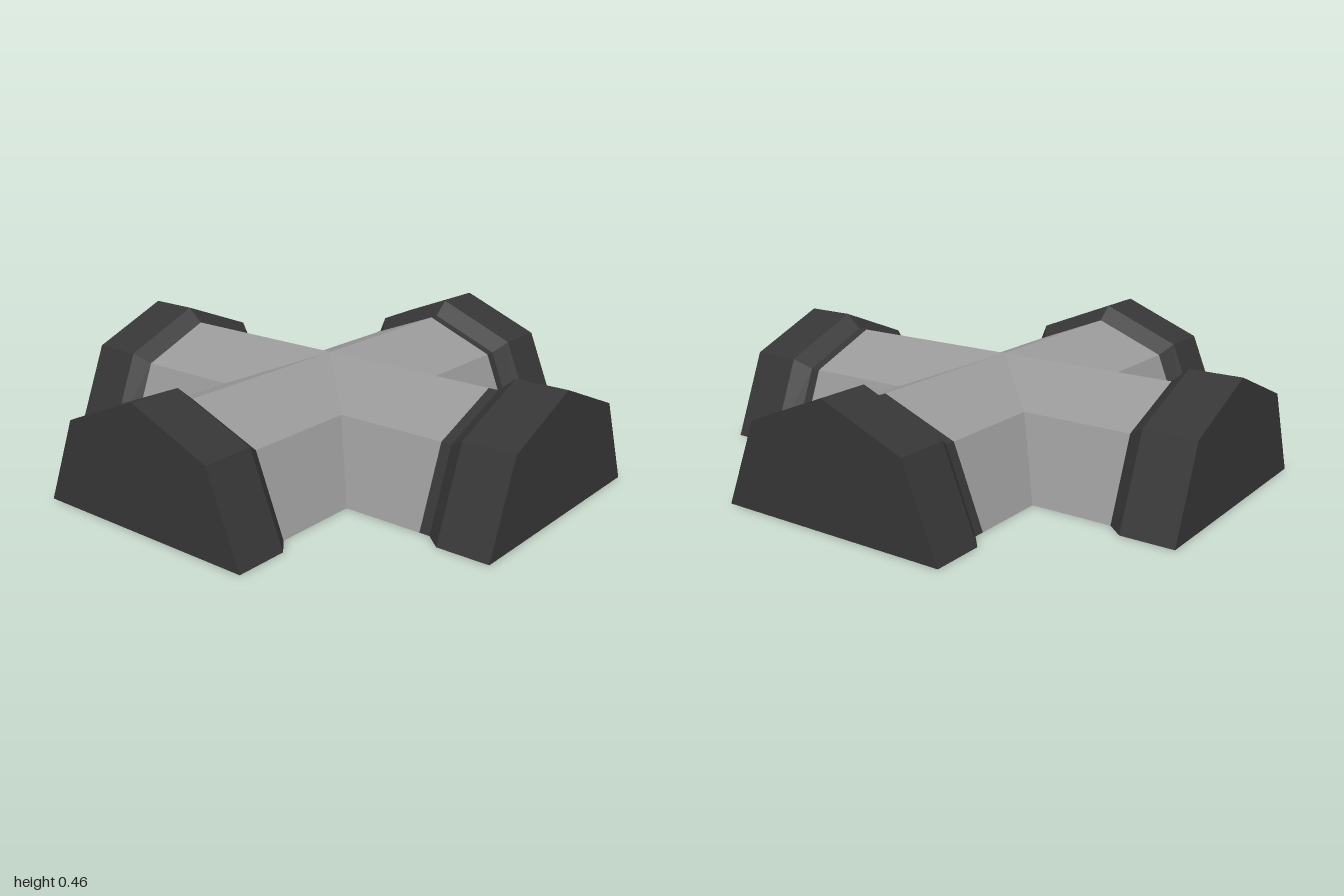
import * as THREE from 'three';

// Half-hexagonal tunnel sections as [across, height]
const tunnelProfile = [[-0.405, 0], [-0.29, 0.29], [0, 0.405], [0.29, 0.29], [0.405, 0]];
const collarProfile = [[-0.46, 0], [-0.326, 0.328], [0, 0.46], [0.326, 0.328], [0.46, 0]];

// A section placed at a distance along +z (a number, or a rule of the across value)
function section(profile, z) {
  return profile.map(([x, y]) => [x, y, typeof z === 'function' ? z(x) : z]);
}

// Flat-faced open skin through successive sections
function skin(sections) {
  const positions = [];
  for (let s = 0; s < sections.length - 1; s++) {
    const a = sections[s], b = sections[s + 1];
    for (let i = 0; i < a.length - 1; i++) {
      positions.push(...a[i], ...b[i], ...b[i + 1], ...a[i], ...b[i + 1], ...a[i + 1]);
    }
  }
  const geometry = new THREE.BufferGeometry();
  geometry.setAttribute('position', new THREE.Float32BufferAttribute(positions, 3));
  geometry.computeVertexNormals();
  return geometry;
}

export function createModel() {
  const stone = new THREE.MeshStandardMaterial({ color: 0x999999, side: THREE.DoubleSide, flatShading: true });
  stone.name = 'grey';
  const dark = new THREE.MeshStandardMaterial({ color: 0x363636, side: THREE.DoubleSide, flatShading: true });
  dark.name = 'charcoal';

  const model = new THREE.Group();
  model.name = 'tunnelCrossing';

  const crossing = new THREE.Group();
  crossing.name = 'crossing';
  crossing.position.x = -0.02;
  model.add(crossing);

  const arms = [
    { name: 'frontArm', turn: 0, end: 1, band: 0 },
    { name: 'leftArm', turn: Math.PI / 2, end: 1.02, band: 0.04 },
    { name: 'backArm', turn: Math.PI, end: 1, band: 0.04 },
    { name: 'rightArm', turn: -Math.PI / 2, end: 0.98, band: 0 },
  ];

  for (const { name, turn, end, band } of arms) {
    const arm = new THREE.Group();
    arm.name = name;
    arm.rotation.y = turn;
    crossing.add(arm);

    const add = (part, geometry, material) => {
      const mesh = new THREE.Mesh(geometry, material);
      mesh.name = part;
      arm.add(mesh);
      return mesh;
    };

    const flareStart = end - 0.264;
    const flareEnd = end - 0.2;

    // Tunnel, mitred against its neighbours at the centre
    add('tunnel', skin([
      section(tunnelProfile, (x) => Math.abs(x)),
      section(tunnelProfile, flareStart - band),
    ]), stone);

    // Dark collar: optional band, flare and straight rim
    const rings = [
      section(tunnelProfile, flareStart),
      section(collarProfile, flareEnd),
      section(collarProfile, end),
    ];
    if (band) rings.unshift(section(tunnelProfile, flareStart - band));
    add('collar', skin(rings), dark);

    // Flat end wall
    const outline = new THREE.Shape(collarProfile.map(([x, y]) => new THREE.Vector2(x, y)));
    add('endWall', new THREE.ShapeGeometry(outline), dark).position.z = end;
  }

  return model;
}
